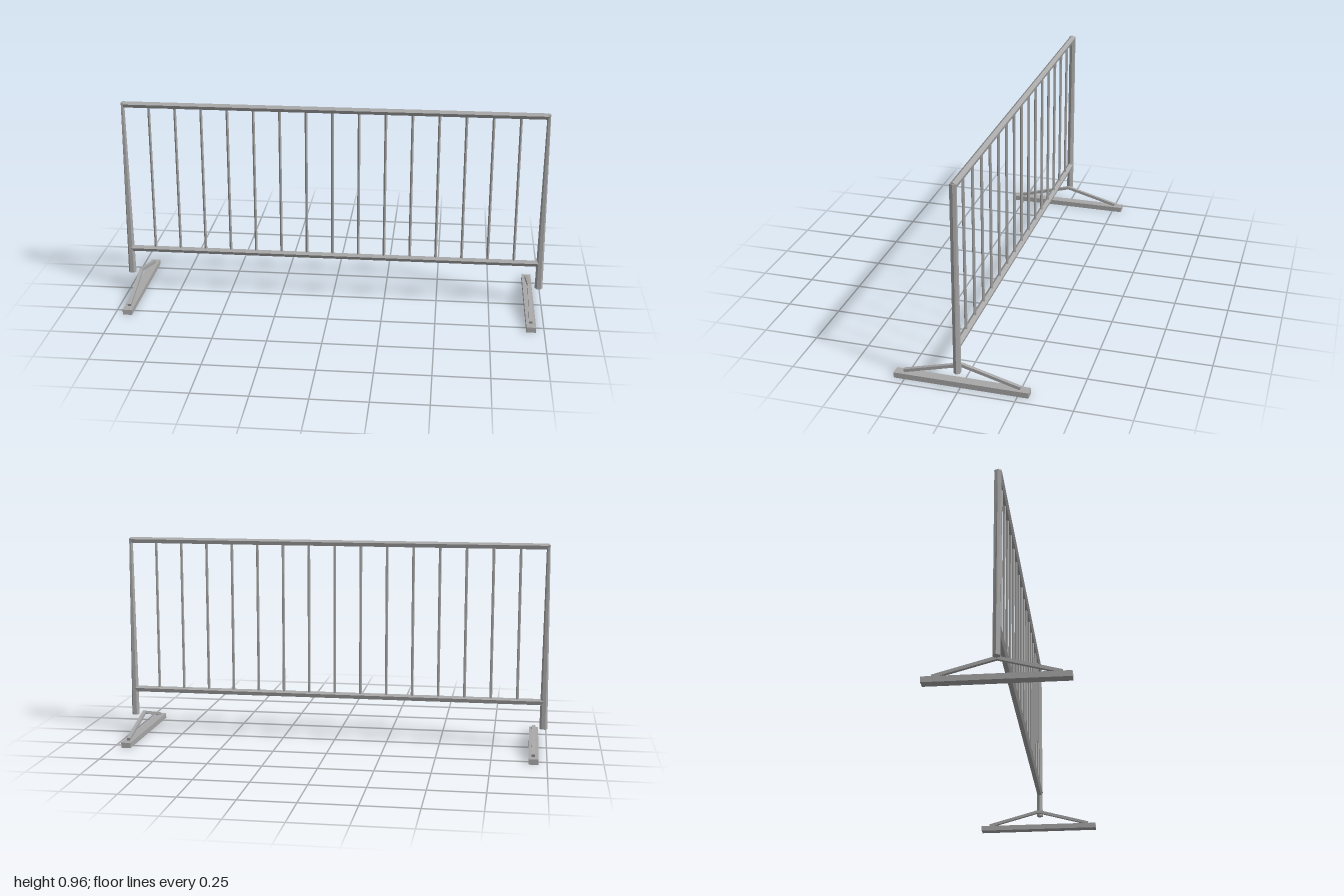
import * as THREE from 'three';

export function createModel() {
  const group = new THREE.Group();
  const steel = new THREE.MeshStandardMaterial({ color: 0xa8a8a8, flatShading: true });
  steel.name = 'galvanised steel';
  const midZ = 0.003;

  function add(geometry, name, x, y, z) {
    const mesh = new THREE.Mesh(geometry, steel);
    mesh.name = name;
    mesh.position.set(x, y, z);
    group.add(mesh);
    return mesh;
  }

  // Horizontal five-sided rails, with a ridge on top
  function addRail(name, y, length) {
    const g = new THREE.CylinderGeometry(0.0165, 0.0165, length, 5);
    g.rotateY(Math.PI / 2 - 0.1); // one corner towards +x
    g.rotateZ(Math.PI / 2); // +x becomes up
    g.scale(1, 0.92, 1.05);
    add(g, name, 0, y, midZ);
  }
  addRail('topRail', 0.941, 1.97);
  addRail('bottomRail', 0.217, 1.96);

  // Thin upright bars
  for (let i = -7; i <= 7; i++) {
    add(new THREE.CylinderGeometry(0.0068, 0.0068, 0.715, 5), 'bar', i * 0.1228, 0.579, midZ);
  }

  for (const side of [-1, 1]) {
    // End post, narrowing in x towards the top
    const g = new THREE.CylinderGeometry(0.0168, 0.0168, 0.86, 6);
    g.rotateY(Math.PI / 6);
    const p = g.attributes.position;
    for (let i = 0; i < p.count; i++) {
      const t = p.getY(i) / 0.86 + 0.5;
      p.setX(i, p.getX(i) * (1.1 - 0.6 * t));
    }
    add(g, 'endPost', side * 0.983, 0.52, midZ);

    // Ground foot
    add(new THREE.BoxGeometry(0.044, 0.025, 0.596), 'foot', side * 0.94, 0.0125, 0);

    // Sloping struts that meet under the frame
    for (const dir of [-1, 1]) {
      const rise = 0.07, run = 0.258;
      const strut = add(
        new THREE.BoxGeometry(0.016, 0.014, Math.hypot(rise, run)),
        'footStrut', side * 0.939, 0.066, dir * run / 2);
      strut.rotation.x = dir * Math.atan2(rise, run);
    }
  }
  return group;
}
